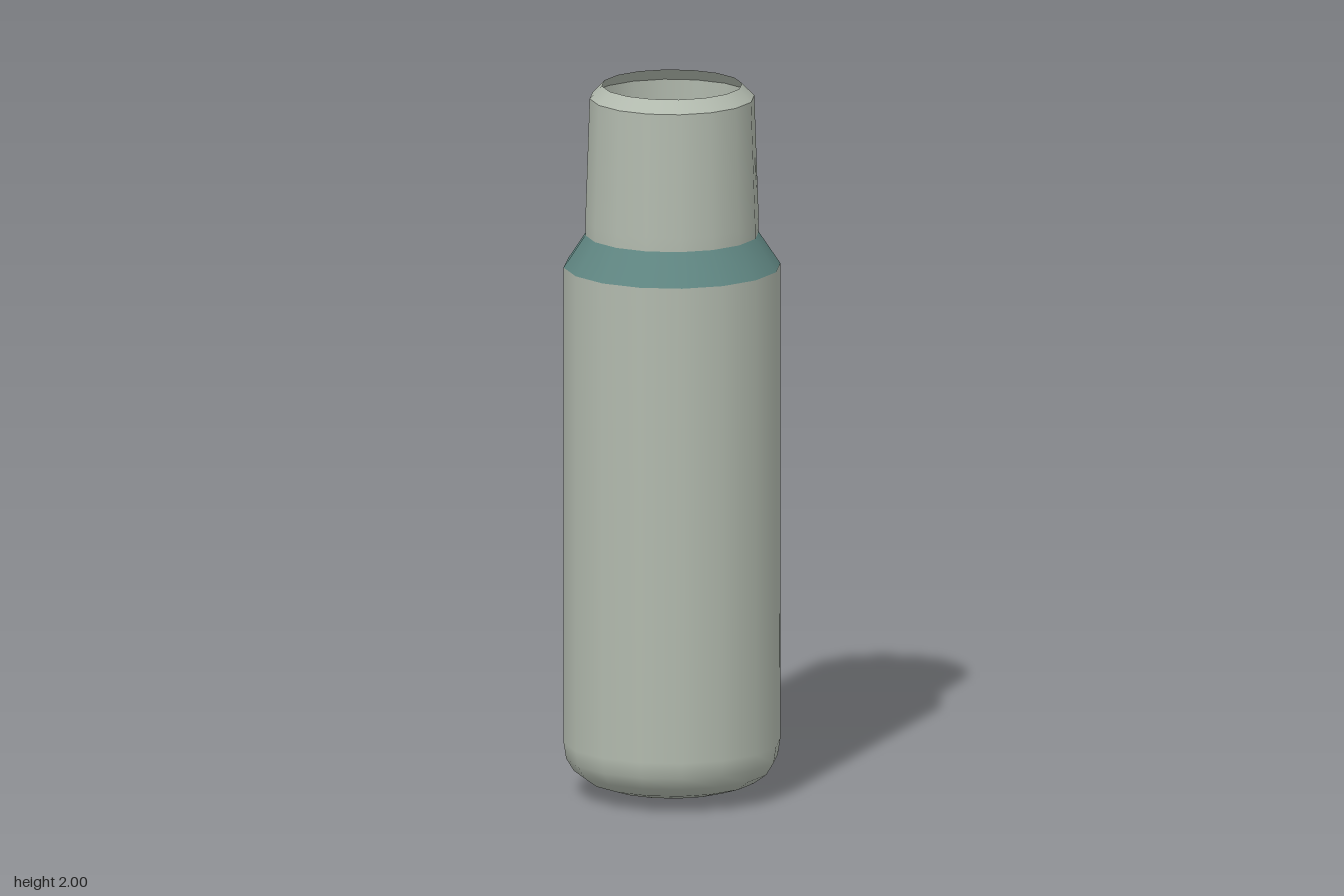
import * as THREE from 'three';

const SIDES = 16;

export function createModel() {
  const group = new THREE.Group();
  group.name = 'bottle';

  const shell = new THREE.MeshStandardMaterial({ name: 'pale grey green', color: 0xb2baae, side: THREE.DoubleSide });
  const teal = new THREE.MeshStandardMaterial({ name: 'teal', color: 0x5f8581, side: THREE.DoubleSide });

  // Each turned section is its own mesh, so edges between sections stay sharp
  const turn = (name, material, profile) => {
    const points = profile.map(([r, y]) => new THREE.Vector2(r, y));
    const mesh = new THREE.Mesh(new THREE.LatheGeometry(points, SIDES), material);
    mesh.name = name;
    group.add(mesh);
  };

  // Open shell with a small drain hole and rounded base
  turn('body', shell, [
    [0.022, 0], [0.18, 0.025], [0.235, 0.043], [0.272, 0.07],
    [0.293, 0.105], [0.3, 0.15], [0.3, 1.49],
  ]);
  // Coloured sloping band
  turn('shoulder', teal, [[0.3, 1.49], [0.24, 1.58]]);
  // Slightly tapered neck
  turn('neck', shell, [[0.24, 1.58], [0.24, 1.62], [0.228, 1.965]]);
  // Bevelled lip around the open mouth
  turn('lip', shell, [[0.228, 1.965], [0.194, 2]]);

  return group;
}
